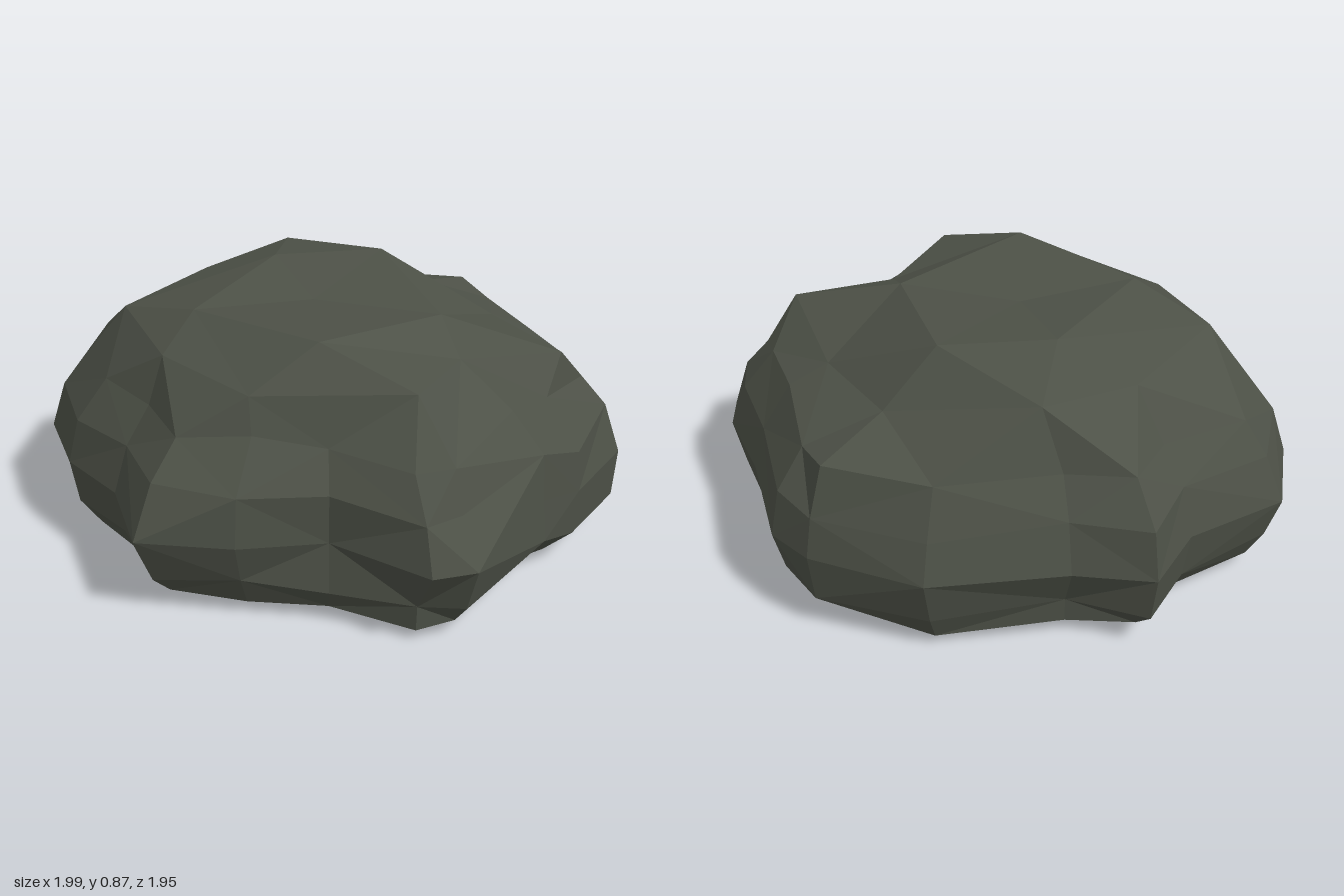
import * as THREE from 'three';

// Widest outline of the boulder as [x, z], running from +x round through +z
const outline = [
  [1, 0], [0.99, 0.19], [0.76, 0.54], [0.62, 0.83], [0.52, 0.94], [0.18, 0.97],
  [0.04, 0.94], [-0.47, 0.98], [-0.59, 0.89], [-0.65, 0.54], [-0.83, 0.3], [-1, 0.02],
  [-0.81, -0.25], [-0.75, -0.54], [-0.58, -0.81], [-0.29, -0.98], [0.08, -0.87],
  [0.35, -0.93], [0.5, -0.7], [0.86, -0.39],
];

// Flank layers from the ground up: share of the outline, rough = random wobble
const layers = [
  { y: 0.006, scale: 0.45, rough: 0 },
  { y: 0.045, scale: 0.89, rough: 0.012 },
  { y: 0.14, scale: 0.96, rough: 0.02 },
  { y: 0.3, scale: 0.995, rough: 0.005 },
  { y: 0.46, scale: 0.95, rough: 0.02 },
  { y: 0.6, scale: 0.84, rough: 0.02 },
];

// Dents and bulges: [layer, outline point, change of share]
const dents = [
  [1, 0, -0.04], [1, 11, -0.06], [2, 11, -0.06], [2, 0, 0.03], [2, 18, -0.06], [2, 8, -0.05],
  [3, 9, -0.06], [3, 6, -0.03], [4, 11, -0.06], [4, 0, 0.03], [4, 5, 0.04], [4, 7, -0.04],
  [5, 11, -0.08], [5, 0, 0.06], [5, 19, 0.04], [5, 6, -0.02], [5, 10, -0.02],
];

// Crest loop and summit loop, each with half the points of the loop below
const crest = [
  [0.63, 0.69, 0], [0.52, 0.68, 0.38], [0.3, 0.72, 0.79], [0, 0.74, 0.58], [-0.36, 0.77, 0.66],
  [-0.63, 0.73, 0.2], [-0.6, 0.75, -0.2], [-0.42, 0.78, -0.55], [0.06, 0.77, -0.6], [0.42, 0.81, -0.5],
];
const summit = [
  [0.42, 0.865, -0.05], [0.12, 0.82, 0.42], [-0.41, 0.87, 0.31], [-0.42, 0.85, -0.22], [0.13, 0.865, -0.32],
];

function createBoulderGeometry() {
  let seed = 17;
  const rand = () => {
    seed = (seed * 16807) % 2147483647;
    return seed / 2147483647 * 2 - 1;
  };
  const n = outline.length;
  const rings = layers.map(({ y, scale, rough }, r) => outline.map(([x, z], i) => {
    const dent = dents.find(([layer, point]) => layer === r && point === i);
    const s = scale + rough * rand() + (dent ? dent[2] : 0);
    return [x * s, y + rough * rand(), z * s];
  }));

  const positions = [];
  const tri = (...points) => positions.push(...points.flat());

  // Shallow convex underside
  for (let i = 0; i < n; i++) tri([0, 0, 0], rings[0][i], rings[0][(i + 1) % n]);

  // Flanks, with alternating diagonals for a broken surface
  for (let r = 0; r < rings.length - 1; r++) {
    const low = rings[r], high = rings[r + 1];
    for (let i = 0; i < n; i++) {
      const j = (i + 1) % n;
      if ((i + r) % 2) {
        tri(low[i], high[i], low[j]);
        tri(low[j], high[i], high[j]);
      } else {
        tri(low[i], high[i], high[j]);
        tri(low[i], high[j], low[j]);
      }
    }
  }

  // Upper slopes: each loop joins one with half as many points
  const joinHalf = (low, high) => high.forEach((p, k) => {
    const q = high[(k + 1) % high.length];
    const b = low[2 * k + 1];
    tri(low[2 * k], p, b);
    tri(b, p, q);
    tri(b, q, low[(2 * k + 2) % low.length]);
  });
  joinHalf(rings[rings.length - 1], crest);
  joinHalf(crest, summit);

  // Shallow hollow in the middle of the summit
  summit.forEach((p, k) => tri(p, [-0.05, 0.825, 0], summit[(k + 1) % summit.length]));

  const geometry = new THREE.BufferGeometry();
  geometry.setAttribute('position', new THREE.Float32BufferAttribute(positions, 3));
  geometry.computeVertexNormals(); // unshared corners give flat facets
  return geometry;
}

export function createModel() {
  const stone = new THREE.MeshStandardMaterial({ color: 0x4d5147 });
  stone.name = 'mossy grey stone';
  const boulder = new THREE.Mesh(createBoulderGeometry(), stone);
  boulder.name = 'boulder';
  const group = new THREE.Group();
  group.name = 'rock';
  group.add(boulder);
  return group;
}
